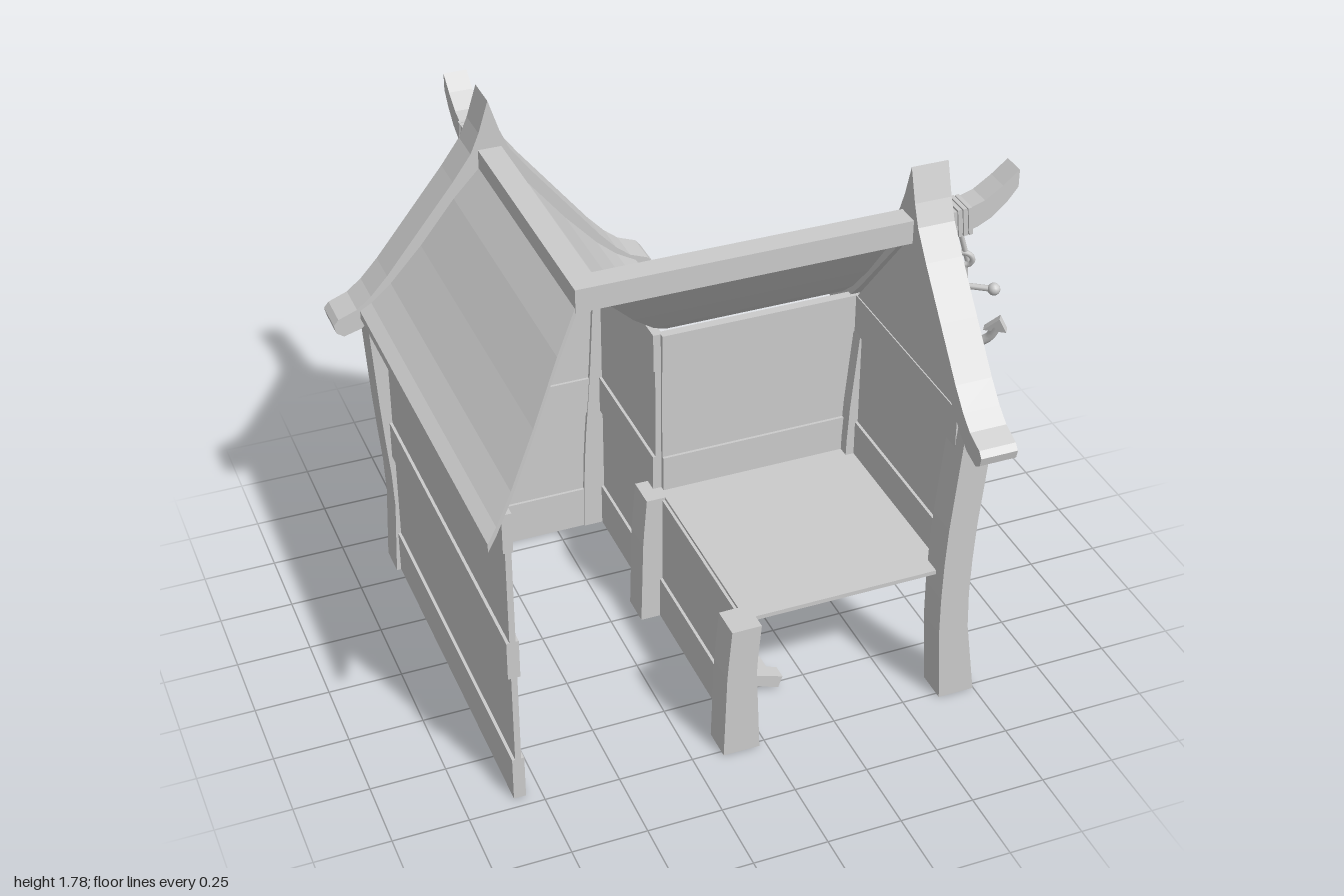
import * as THREE from 'three';

const mat = new THREE.MeshStandardMaterial({ color: 0xcccccc, flatShading: true, side: THREE.DoubleSide });
const smooth = new THREE.MeshStandardMaterial({ color: 0xcccccc });

function add(parent, name, geo, x = 0, y = 0, z = 0, m = mat) {
  const mesh = new THREE.Mesh(geo, m);
  mesh.name = name;
  mesh.position.set(x, y, z);
  parent.add(mesh);
  return mesh;
}
function box(parent, name, x0, x1, y0, y1, z0, z1) {
  return add(parent, name, new THREE.BoxGeometry(x1 - x0, y1 - y0, z1 - z0),
    (x0 + x1) / 2, (y0 + y1) / 2, (z0 + z1) / 2);
}
function sub(parent, name, x, y, z, rotY = 0) {
  const g = new THREE.Group();
  g.name = name;
  g.position.set(x, y, z);
  g.rotation.y = rotY;
  parent.add(g);
  return g;
}
const polygon = pts => new THREE.Shape(pts.map(p => new THREE.Vector2(...p)));
const extrude = (shape, depth) =>
  new THREE.ExtrudeGeometry(shape, { depth, bevelEnabled: false, curveSegments: 10 });

// Piecewise linear lookup in [key, value] pairs
function lerpTable(table, k) {
  let i = 1;
  while (i < table.length - 1 && k > table[i][0]) i++;
  const [a, b] = [table[i - 1], table[i]];
  return a[1] + (b[1] - a[1]) * (k - a[0]) / (b[0] - a[0]);
}

// Round-topped outline for windows and the door
function arch(w, h, a, y = 0) {
  const s = new THREE.Shape();
  s.moveTo(-w / 2, y);
  s.lineTo(w / 2, y);
  s.lineTo(w / 2, y + h - a);
  s.absellipse(0, y + h - a, w / 2, a, 0, Math.PI);
  s.closePath();
  return s;
}
function archWindow(parent, x, y) {
  const g = sub(parent, 'window', x, y, 0.008);
  const frame = arch(0.19, 0.26, 0.1, 0.005);
  frame.holes.push(arch(0.13, 0.2, 0.075, 0.035));
  add(g, 'windowFrame', new THREE.ExtrudeGeometry(frame,
    { depth: 0.012, bevelThickness: 0.008, bevelSize: 0.006, bevelSegments: 1, curveSegments: 10 }));
  add(g, 'windowPane', extrude(arch(0.14, 0.21, 0.08, 0.03), 0.008));
}

// Plank wall facing local +z; alternate bands stand proud
const bands = [[0, 0.16, 0.04], [0.16, 0.49, 0.02], [0.49, 0.63, 0.04], [0.63, 0.97, 0.02], [0.97, 1.11, 0.032]];
function wall(parent, width, from, to, x = 0, z = 0) {
  for (const [y0, y1, t] of bands) {
    if (y0 >= from && y1 <= to) box(parent, 'wallBand', x - width / 2, x + width / 2, y0, y1, z - t / 2, z + t / 2);
  }
}

// Crooked corner post: centre line and width change with height
function post(parent, path, z, h) {
  const widths = [[0, 0.125], [0.33, 0.1], [1.12, 0.1]];
  const geo = new THREE.BoxGeometry(1, h, 0.11, 1, 8, 1).translate(0, h / 2, 0);
  const p = geo.attributes.position;
  for (let i = 0; i < p.count; i++) {
    const y = p.getY(i);
    p.setX(i, lerpTable(path, y) + p.getX(i) * lerpTable(widths, y));
  }
  geo.computeVertexNormals();
  add(parent, 'post', geo, 0, 0, z);
}

// Curved roof slab: d is the distance from the ridge
const roofLine = [[0.02, 1.565], [0.13, 1.45], [0.25, 1.3], [0.36, 1.18], [0.43, 1.12], [0.5, 1.08]];
function roof(parent, name, eave, at, start, end) {
  const pos = [];
  const quad = (a, b, c, d) => [a, b, c, a, c, d].forEach(v => pos.push(...v));
  const rows = [...roofLine.filter(r => r[0] < eave - 0.01).map(r => r[0]), eave].map(d => {
    const y = lerpTable(roofLine, d);
    return [at(d, start(d), y), at(d, end(d), y), at(d, end(d), y - 0.03), at(d, start(d), y - 0.03)];
  });
  for (let i = 1; i < rows.length; i++)
    for (let k = 0; k < 4; k++)
      quad(rows[i - 1][k], rows[i - 1][(k + 1) % 4], rows[i][(k + 1) % 4], rows[i][k]);
  quad(...rows[0].slice().reverse());
  quad(...rows[rows.length - 1]);
  const geo = new THREE.BufferGeometry();
  geo.setAttribute('position', new THREE.Float32BufferAttribute(pos, 3));
  geo.computeVertexNormals();
  add(parent, name, geo);
}

// Steering wheel ornament
function shipWheel(parent, y, z) {
  const g = sub(parent, 'steeringWheel', 0, y, z);
  add(g, 'wheelRim', new THREE.TorusGeometry(0.082, 0.011, 6, 24), 0, 0, 0, smooth);
  add(g, 'wheelHub', new THREE.CylinderGeometry(0.026, 0.026, 0.035, 12).rotateX(Math.PI / 2));
  for (let i = 0; i < 8; i++) {
    const spoke = sub(g, 'spoke', 0, 0, 0);
    spoke.rotation.z = i * Math.PI / 4;
    add(spoke, 'spokeRod', new THREE.CylinderGeometry(0.006, 0.006, 0.115, 6), 0, 0.0575, 0, smooth);
    add(spoke, 'spokeGrip', new THREE.SphereGeometry(0.01, 8, 6).scale(1, 1.6, 1), 0, 0.116, 0, smooth);
  }
}

// Gable end facing local +z, z = 0 at the back of the barge boards
function gable(parent, name, x, z, rotY, from, windows) {
  const g = sub(parent, name, x, 0, z, rotY);
  wall(g, 0.74, from, 1.2, 0, 0.03);
  add(g, 'gableWall', extrude(polygon([[-0.37, 1.1], [0.37, 1.1], [0, 1.54]]), 0.024), 0, 0, 0.018);
  const face = sub(g, 'windows', 0, 0, 0.03);
  windows.forEach(y => archWindow(face, 0, y));
  shipWheel(g, 1.27, 0.065);
  // Swept barge boards with upturned ends
  const half = [[0.035, 1.67], [0.065, 1.6], [0.13, 1.51], [0.25, 1.36], [0.37, 1.21], [0.43, 1.145],
    [0.48, 1.105], [0.545, 1.08], [0.562, 1.06], [0.555, 1.03], [0.53, 1.013], [0.47, 1.03], [0.42, 1.065],
    [0.31, 1.18]];
  const mirrored = half.map(([a, b]) => [-a, b]).reverse();
  add(g, 'bargeBoards', extrude(polygon([[0, 1.78], ...half, [0, 1.54], ...mirrored]), 0.125));
  // Upturned ridge horn with lashing
  const horn = polygon([[0.04, 1.53], [0.16, 1.53], [0.22, 1.545], [0.27, 1.57], [0.32, 1.615], [0.355, 1.66],
    [0.355, 1.72], [0.3, 1.675], [0.24, 1.635], [0.18, 1.615], [0.04, 1.61]]);
  add(g, 'ridgeHorn', extrude(horn, 0.08).rotateY(-Math.PI / 2), 0.04);
  for (let i = 0; i < 3; i++) {
    const r = box(g, 'lashing', -0.046, 0.046, 1.525, 1.622, 0.15 + i * 0.018, 0.163 + i * 0.018);
    r.rotation.x = -0.1;
  }
  return g;
}

function anchor(parent) {
  const g = sub(parent, 'anchor', 0.88, 1.04, 0.28);
  g.rotation.set(0.21, -0.62, 0, 'YXZ');
  add(g, 'shank', new THREE.CylinderGeometry(0.012, 0.02, 0.35, 8), 0, 0.175, 0, smooth);
  add(g, 'ring', new THREE.TorusGeometry(0.026, 0.009, 8, 16), 0, 0.375, 0, smooth);
  add(g, 'stock', new THREE.CylinderGeometry(0.01, 0.01, 0.19, 8).rotateZ(Math.PI / 2), 0, 0.26, 0, smooth);
  const arms = new THREE.CatmullRomCurve3([[-0.115, 0.1], [-0.085, 0.04], [0, 0], [0.085, 0.04], [0.115, 0.1]]
    .map(([x, y]) => new THREE.Vector3(x, y, 0)));
  add(g, 'arms', new THREE.TubeGeometry(arms, 20, 0.016, 8), 0, 0, 0, smooth);
  for (const s of [-1, 1]) {
    add(g, 'stockBall', new THREE.SphereGeometry(0.021, 12, 8), s * 0.098, 0.26, 0, smooth);
    const fluke = extrude(polygon([[-0.045, 0], [0.03, 0], [0.006, 0.055]]), 0.024);
    add(g, 'fluke', s < 0 ? fluke.rotateY(Math.PI) : fluke, s * 0.117, 0.085, s * -0.012);
  }
  const rope = new THREE.LineCurve3(new THREE.Vector3(0.795, 1.56, 0.35), new THREE.Vector3(0.845, 1.4, 0.345));
  add(parent, 'rope', new THREE.TubeGeometry(rope, 1, 0.009, 8), 0, 0, 0, smooth);
}

export function createModel() {
  const house = new THREE.Group();
  house.name = 'cutawayHouse';

  // Gable ends
  gable(house, 'backGable', -0.44, -0.545, Math.PI, 0, [0.2, 0.67]);
  gable(house, 'sideGable', 0.625, 0.35, Math.PI / 2, 0.49, [0.67]);

  // Long walls
  wall(sub(house, 'longWall', -0.82, 0, 0.055, -Math.PI / 2), 1.31, 0, 1.2);
  const inner = sub(house, 'innerWall', -0.06, 0, -0.31, Math.PI / 2);
  wall(inner, 0.56, 0, 1.2);
  archWindow(inner, 0, 0.2);
  const rear = sub(house, 'rearWall', 0.3, 0, -0.03, Math.PI);
  wall(rear, 0.7, 0.49, 1.2);
  archWindow(rear, 0.03, 0.67);
  box(house, 'upperFloor', -0.06, 0.64, 0.485, 0.5, -0.04, 0.72);

  // Door wall
  const front = sub(house, 'doorWall', -0.06, 0, 0.35, Math.PI / 2);
  wall(front, 0.76, 0, 0.49);
  add(front, 'door', extrude(arch(0.24, 0.41, 0.12, 0.04), 0.026));
  add(front, 'doorKnob', new THREE.SphereGeometry(0.021, 12, 8), 0.085, 0.2, 0.042, smooth);

  // Doorstep ramp
  const step = sub(house, 'doorstep', 0.06, 0.055, 0.345);
  step.rotation.z = -0.33;
  for (const s of [-1, 1]) box(step, 'sideBoard', -0.1, 0.1, -0.022, 0.022, s * 0.158 - 0.026, s * 0.158 + 0.026);
  for (const x of [-0.055, 0.04]) box(step, 'tread', x - 0.035, x + 0.035, -0.015, 0.008, -0.15, 0.15);

  // Posts
  const left = [[0, -0.793], [0.33, -0.79], [0.63, -0.815], [1.12, -0.842]];
  const right = left.map(([y, x]) => [y, -0.88 - x]);
  const outer = [[0, 0.685], [0.33, 0.652], [0.63, 0.658], [1.12, 0.702]];
  post(house, left, -0.605, 1.11);
  post(house, right, -0.605, 1.11);
  for (const z of [-0.025, 0.715]) {
    post(house, outer, z, 1.11);
    post(house, right, z, 0.5);
  }

  // Roof slopes and ridge beams
  roof(house, 'outerRoof', 0.47, (d, t, y) => [-0.44 - d, y, t], () => -0.56, d => 0.34 + d);
  roof(house, 'valleyRoof', 0.5, (d, t, y) => [-0.44 + d, y, t], () => -0.56, d => 0.345 - d);
  roof(house, 'rearRoof', 0.5, (d, t, y) => [t, y, 0.345 - d], d => -0.44 + d, () => 0.64);
  box(house, 'ridgeBeam', -0.48, 0.63, 1.53, 1.61, 0.305, 0.385);
  box(house, 'ridgeBeam', -0.48, -0.4, 1.53, 1.61, -0.55, 0.305);

  anchor(house);
  return house;
}
